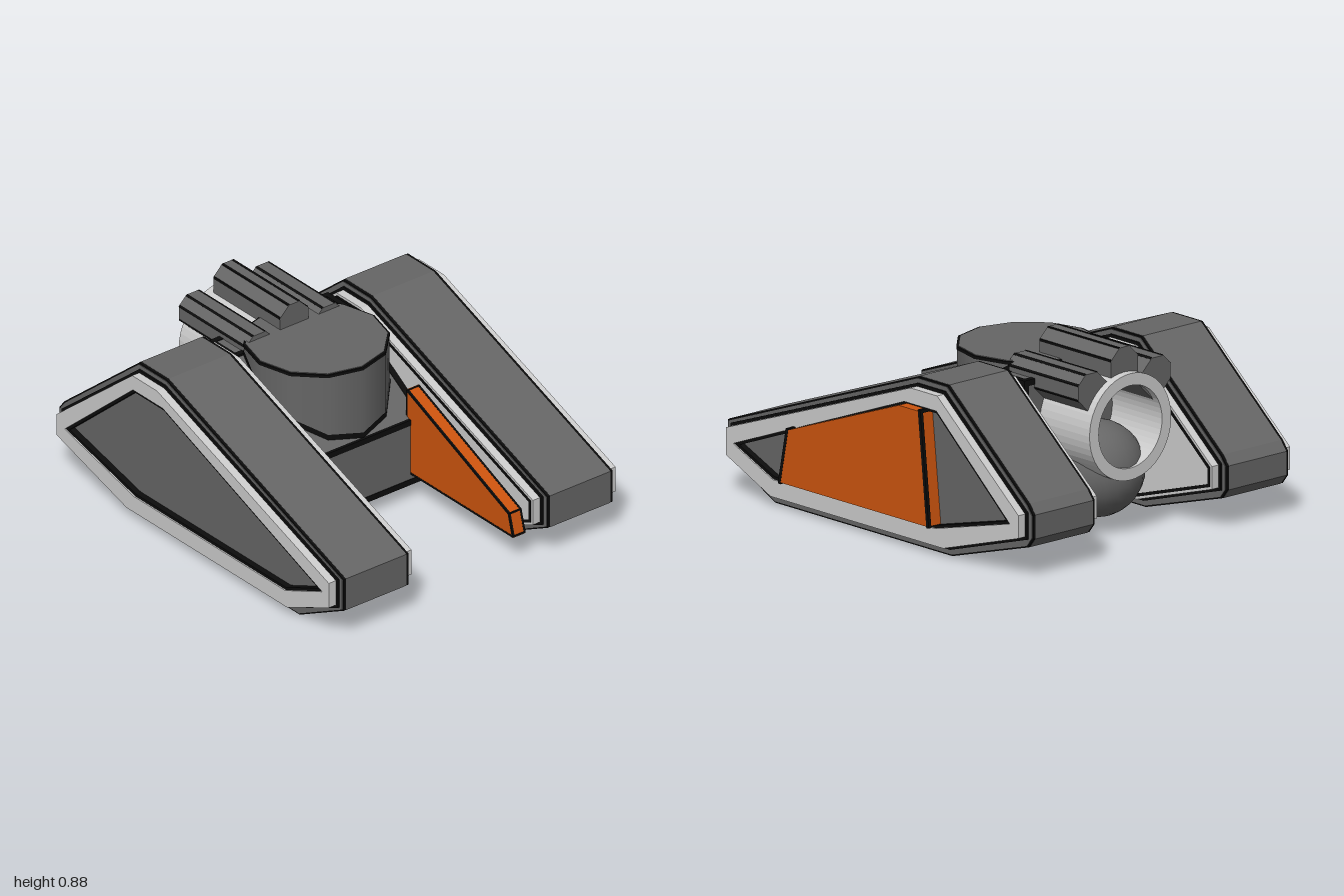
import * as THREE from 'three';

const mat = (name, color) => Object.assign(new THREE.MeshStandardMaterial({ color }), { name });

// Side profiles as [z, y] points
const TRACK = [[1, .32], [1, .16], [.69, 0], [-.47, 0], [-.965, .145], [-1, .19], [-1, .3], [-.965, .345], [-.44, .78], [-.245, .78]];
const RIM = [[.957, .3], [.957, .175], [.665, .045], [-.465, .045], [-.957, .195], [-.957, .3], [-.425, .738], [-.25, .738]];
const WELL = [[.91, .236], [.65, .125], [-.41, .125], [-.9, .25], [-.42, .667], [-.21, .667]];
const ARMOR = [[.51, .39], [.56, .14], [-.41, .14], [-.355, .66], [-.22, .66]];
const LOOSE = [[.9, .24], [.93, .13], [.18, .13], [.18, .55]];
const BODY = [[.21, .08], [.21, .4], [-.3, .72], [-.47, .72], [-.47, .08]];

// Shifts every edge of a convex profile toward its middle
function inset(poly, d) {
  const n = poly.length;
  const mz = poly.reduce((s, p) => s + p[0], 0) / n, my = poly.reduce((s, p) => s + p[1], 0) / n;
  const lines = poly.map((p, i) => {
    const q = poly[(i + 1) % n];
    let a = q[1] - p[1], b = p[0] - q[0];
    const l = Math.hypot(a, b);
    a /= l; b /= l;
    if (a * (mz - p[0]) + b * (my - p[1]) < 0) { a = -a; b = -b; }
    return [a, b, a * p[0] + b * p[1] + d];
  });
  return lines.map((L, i) => {
    const K = lines[(i + n - 1) % n], det = K[0] * L[1] - L[0] * K[1];
    return [(K[2] * L[1] - L[2] * K[1]) / det, (K[0] * L[2] - L[0] * K[2]) / det];
  });
}

export function createModel() {
  const gray = mat('hull gray', 0x666666);
  const light = mat('light gray', 0xcccccc);
  const orange = mat('orange', 0xcc540e);
  const black = mat('black trim', 0x0c0c0c);
  const model = new THREE.Group();
  model.name = 'trackedVehicle';

  const add = (parent, name, geo, material) => {
    const m = new THREE.Mesh(geo, material);
    m.name = name;
    parent.add(m);
    return m;
  };
  const vec = pts => pts.map(([z, y]) => new THREE.Vector2(-z, y));

  // Side profile extruded along x from xa to xb
  const slab = (parent, name, poly, hole, xa, xb, material) => {
    const shape = new THREE.Shape(vec(poly));
    if (hole) shape.holes.push(new THREE.Path(vec(hole)));
    const geo = new THREE.ExtrudeGeometry(shape, { depth: Math.abs(xb - xa), bevelEnabled: false });
    geo.rotateY(Math.PI / 2).translate(Math.min(xa, xb), 0, 0);
    return add(parent, name, geo, material);
  };

  // Thin black bar along an edge
  const bar = (parent, a, b, w) => {
    const p = new THREE.Vector3(...a), q = new THREE.Vector3(...b);
    const dir = q.clone().sub(p);
    const m = add(parent, 'edgeTrim', new THREE.BoxGeometry(w, w, dir.length() + w * .8), black);
    m.position.copy(p).add(q).multiplyScalar(.5);
    m.quaternion.setFromUnitVectors(new THREE.Vector3(0, 0, 1), dir.normalize());
  };
  const outline = (parent, poly, xa, xb, w) => poly.forEach(([z, y], i) => {
    const [z2, y2] = poly[(i + 1) % poly.length];
    bar(parent, [xa, y, z], [xb, y, z], w);
    for (const x of [xa, xb]) bar(parent, [x, y, z], [x, y2, z2], w);
  });

  // Tracks
  for (const [side, cx, out] of [['left', .555, 1], ['right', -.605, -1]]) {
    const g = new THREE.Group();
    g.name = side + 'Track';
    model.add(g);
    const put = (name, poly, hole, a, b, m) => slab(g, name, poly, hole, cx + out * a, cx + out * b, m);
    put('trackBelt', TRACK, null, -.172, .172, gray);
    for (const s of [-1, 1]) {
      put('beltEdge', inset(TRACK, .001), null, s * .172, s * .184, black);
      put('beltSide', inset(TRACK, .008), null, s * .184, s * .187, gray);
      put('rimGasket', inset(RIM, -.014), null, s * .187, s * .195, black);
    }
    // Outer rim with sunken panel
    put('outerRim', RIM, WELL, .19, .235, light);
    put('wellTrim', WELL, inset(WELL, .013), .19, .228, black);
    put('wellPanel', inset(WELL, .012), null, .19, .199, gray);
    // Solid inner plate
    put('innerPlate', RIM, null, -.19, -.235, light);
    put('innerPlateTrim', inset(RIM, .012), inset(RIM, .026), -.235, -.238, black);
  }

  // Outer armour panel on the left track
  const armor = new THREE.Group();
  armor.name = 'armorPanel';
  model.add(armor);
  slab(armor, 'armorPlate', ARMOR, null, .75, .833, orange);
  for (const [i, j] of [[0, 1], [2, 3]]) {
    const [[z, y], [z2, y2]] = [ARMOR[i], ARMOR[j]];
    bar(armor, [.826, y, z], [.826, y2, z2], .016);
  }
  for (const [z, y] of [ARMOR[0], ARMOR[3]]) bar(armor, [.755, y, z], [.826, y, z], .016);

  // Loose plate leaning beside the left track
  const loose = new THREE.Group();
  loose.name = 'innerArmorPanel';
  model.add(loose);
  slab(loose, 'innerArmorPlate', LOOSE, null, .23, .3, orange);
  outline(loose, inset(LOOSE, .004), .234, .296, .01);

  // Wedge body
  const body = new THREE.Group();
  body.name = 'body';
  model.add(body);
  slab(body, 'bodyHull', BODY, null, -.368, .308, gray);
  outline(body, inset(BODY, .011), -.357, .297, .028);

  // Turret, with a seam that follows the sloped hull
  const turret = new THREE.Group();
  turret.name = 'turret';
  turret.position.set(-.03, 0, -.13);
  model.add(turret);
  add(turret, 'turretDrum', new THREE.CylinderGeometry(.325, .325, .4, 12).translate(0, .56, 0), gray);
  add(turret, 'turretTopTrim', new THREE.CylinderGeometry(.328, .328, .014, 12).translate(0, .757, 0), black);
  add(turret, 'turretCap', new THREE.CylinderGeometry(.318, .318, .004, 12).translate(0, .765, 0), gray);
  const seam = new THREE.CylinderGeometry(.33, .33, .03, 12, 1, true);
  const p = seam.attributes.position;
  for (let i = 0; i < p.count; i++) {
    const z = p.getZ(i) - .13;
    p.setY(i, p.getY(i) + .012 + Math.min(.72, .4 + (.21 - z) * .627));
  }
  add(turret, 'turretSeam', seam, black);

  // Rear barrel: open tube
  const rear = new THREE.Group();
  rear.name = 'rearBarrel';
  rear.position.set(-.03, .515, 0);
  model.add(rear);
  const ring = new THREE.Shape().absarc(0, 0, .245, 0, Math.PI * 2);
  ring.holes.push(new THREE.Path().absarc(0, 0, .19, 0, Math.PI * 2, true));
  add(rear, 'barrelTube', new THREE.ExtrudeGeometry(ring, { depth: .4, bevelEnabled: false, curveSegments: 24 }).translate(0, 0, -.795), light);

  // Three chamfered rails around the barrel
  const RAIL = [[-.08, .18], [.08, .18], [.08, .31], [.03, .36], [-.03, .36], [-.08, .31]];
  for (const turn of [-1, 0, 1]) {
    const g = new THREE.Group();
    g.name = 'barrelRail';
    g.rotation.z = turn * Math.PI / 4;
    rear.add(g);
    const shape = new THREE.Shape(RAIL.map(q => new THREE.Vector2(...q)));
    add(g, 'rail', new THREE.ExtrudeGeometry(shape, { depth: .47, bevelEnabled: false }).translate(0, 0, -.757), gray);
    for (const [x, y] of inset(RAIL, .004).slice(2)) bar(g, [x, y, -.75], [x, y, -.294], .011);
  }

  // Ball under the barrel
  add(model, 'rearBall', new THREE.SphereGeometry(.22, 24, 16), gray).position.set(-.03, .28, -.57);

  return model;
}
